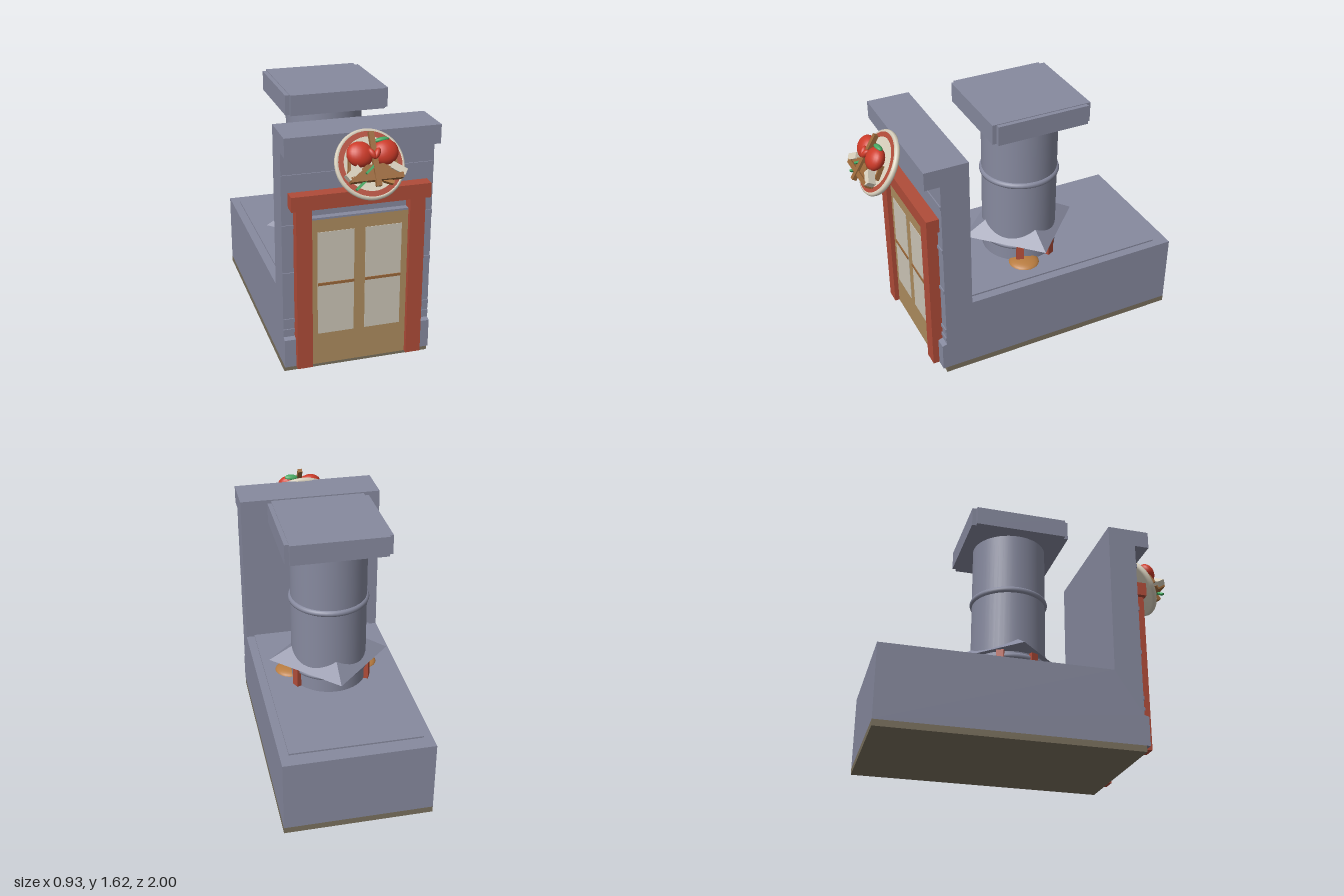
import * as THREE from 'three';

const paint = (name, color) => {
  const m = new THREE.MeshStandardMaterial({ color });
  m.name = name;
  return m;
};

export function createModel() {
  const slate = paint('slate', 0x878a9f);
  const brick = paint('brickRed', 0xb04c39);
  const tan = paint('doorTan', 0xae8d5f);
  const glass = paint('paleGlass', 0xcdc6b8);
  const earth = paint('earthBase', 0x7a715e);
  const wood = paint('wood', 0x9a683a);
  const cream = paint('cream', 0xd8d0bd);
  const tomato = paint('tomatoRed', 0xcc3a28);
  const green = paint('leafGreen', 0x46a862);
  const ember = paint('emberOrange', 0xb87c40);

  const model = new THREE.Group();
  model.name = 'shop';

  const add = (parent, name, geo, mat, x = 0, y = 0, z = 0) => {
    const mesh = new THREE.Mesh(geo, mat);
    mesh.name = name;
    mesh.position.set(x, y, z);
    parent.add(mesh);
    return mesh;
  };
  // Box given by its minimum and maximum on each axis
  const box = (parent, name, mat, x0, x1, y0, y1, z0, z1) =>
    add(parent, name, new THREE.BoxGeometry(x1 - x0, y1 - y0, z1 - z0), mat,
      (x0 + x1) / 2, (y0 + y1) / 2, (z0 + z1) / 2);
  const blob = (parent, name, mat, x, y, z, rx, ry, rz, turn = 0) => {
    const m = add(parent, name, new THREE.SphereGeometry(1, 24, 16), mat, x, y, z);
    m.scale.set(rx, ry, rz);
    m.rotation.z = turn;
    return m;
  };

  // Base slab
  box(model, 'baseSlab', earth, -0.465, 0.465, 0, 0.04, -1, 0.635);

  // Low hall, tall front wall and cornice from one side profile
  const profile = new THREE.Shape([
    [-1, 0.04], [0.66, 0.04], [0.66, 0.225], [0.63, 0.235], [0.63, 1.415], [0.725, 1.415],
    [0.725, 1.53], [0.45, 1.53], [0.45, 0.51], [-1, 0.51],
  ].map(([z, y]) => new THREE.Vector2(z, y)));
  const shell = new THREE.ExtrudeGeometry(profile, { depth: 0.93, bevelEnabled: false });
  shell.rotateY(-Math.PI / 2).translate(0.465, 0, 0);
  add(model, 'building', shell, slate);
  box(model, 'roofPanel', slate, -0.41, 0.41, 0.505, 0.52, -0.905, 0.45);

  // Narrow raised courses across the front wall
  for (const y of [0.275, 0.345, 0.652, 0.957, 1.267]) {
    box(model, 'wallCourse', slate, -0.465, 0.465, y - 0.012, y + 0.012, 0.62, 0.637);
  }

  // Door frame
  for (const s of [-1, 1]) {
    box(model, 'doorPost', brick, s * 0.3475 - 0.0475, s * 0.3475 + 0.0475, 0.04, 1.08, 0.62, 0.7);
  }
  box(model, 'lintel', brick, -0.425, 0.425, 1.08, 1.17, 0.62, 0.71);

  // Double door with panes and crossbars
  box(model, 'door', tan, -0.3, 0.3, 0.04, 1.0, 0.62, 0.67);
  box(model, 'doorHead', slate, -0.3, 0.3, 1.0, 1.012, 0.62, 0.672);
  for (const s of [-1, 1]) {
    const c = s * 0.1475;
    box(model, 'pane', glass, c - 0.113, c + 0.113, 0.25, 0.92, 0.668, 0.673);
    box(model, 'paneBar', wood, c - 0.113, c + 0.113, 0.575, 0.592, 0.67, 0.679);
  }

  // Chimney
  const chimney = new THREE.Group();
  chimney.name = 'chimney';
  chimney.position.z = -0.1;
  model.add(chimney);
  add(chimney, 'stack', new THREE.CylinderGeometry(0.242, 0.242, 1.0, 48), slate, 0, 1.01, 0);
  for (const y of [0.63, 1.095]) {
    const ring = add(chimney, 'stackRing', new THREE.TorusGeometry(0.235, 0.022, 10, 48), slate, 0, y, 0);
    ring.rotation.x = Math.PI / 2;
  }
  const skirt = new THREE.ConeGeometry(0.39, 0.228, 4).toNonIndexed();
  skirt.computeVertexNormals();
  add(chimney, 'pointedSkirt', skirt, slate, 0, 0.774, 0);
  box(chimney, 'chimneyCap', slate, -0.325, 0.325, 1.495, 1.618, -0.298, 0.298);
  box(chimney, 'chimneyCapCross', slate, -0.298, 0.298, 1.495, 1.622, -0.325, 0.325);

  // Red struts and glowing mounds around the stack foot
  for (const s of [-1, 1]) {
    for (const a of [-0.45, 0.42]) {
      const strut = add(chimney, 'strut', new THREE.BoxGeometry(0.05, 0.16, 0.05), brick,
        s * 0.245 * Math.cos(a), 0.585, 0.245 * Math.sin(a));
      strut.rotation.y = -s * a;
    }
    blob(chimney, 'emberMound', ember, s * 0.24, 0.515, 0.08, 0.1, 0.035, 0.1);
  }

  // Round sign leaning forward at the foot, face tilted upward
  const sign = new THREE.Group();
  sign.name = 'sign';
  sign.position.set(0, 1.37, 0.825);
  sign.rotation.x = -0.55;
  model.add(sign);
  const plate = new THREE.LatheGeometry([
    [0, -0.02], [0.185, -0.02], [0.2, -0.013], [0.205, 0], [0.2, 0.014], [0.187, 0.018],
    [0.18, 0.008], [0, 0.008],
  ].map(([r, y]) => new THREE.Vector2(r, y)), 48).rotateX(Math.PI / 2);
  add(sign, 'signPlate', plate, cream);
  const band = new THREE.RingGeometry(0.155, 0.186, 48);
  add(sign, 'signBand', band, brick, 0, 0, 0.0185);

  // Fruit, leaf and heart
  for (const s of [-1, 1]) {
    blob(sign, 'fruit', tomato, s * 0.073, 0.045, 0.08, 0.077, 0.072, 0.05, s * 0.25);
    blob(sign, 'heartHalf', tomato, s * 0.014, 0.035, 0.118, 0.018, 0.034, 0.02, -s * 0.5);
  }
  blob(sign, 'leaf', green, 0.06, 0.112, 0.088, 0.045, 0.016, 0.022, 0.1);

  // Wooden tray, bracket and upright stake
  box(sign, 'tray', wood, -0.15, 0.15, -0.11, -0.08, 0.05, 0.11);
  const wedge = new THREE.Shape([
    [-0.14, -0.08], [0.14, -0.08], [0.05, -0.02], [-0.05, -0.02],
  ].map(([x, y]) => new THREE.Vector2(x, y)));
  add(sign, 'bracket', new THREE.ExtrudeGeometry(wedge, { depth: 0.045, bevelEnabled: false }),
    wood, 0, 0, 0.055);
  box(sign, 'stake', wood, -0.015, 0.015, -0.145, 0.16, 0.09, 0.118);

  // Cream blocks at both ends of the tray, and trimmings
  for (const s of [-1, 1]) {
    const block = add(sign, 'creamBlock', new THREE.BoxGeometry(0.09, 0.04, 0.05), cream, s * 0.13, -0.058, 0.085);
    block.rotation.z = -s * 0.6;
    const side = add(sign, 'sideSlat', new THREE.BoxGeometry(0.012, 0.09, 0.03), wood, s * 0.135, -0.01, 0.05);
    side.rotation.z = s * 0.2;
  }
  for (const [x, y, z, len] of [[-0.09, -0.125, 0.075, 0.08], [-0.03, -0.045, 0.105, 0.08]]) {
    const sprig = add(sign, 'sprig', new THREE.BoxGeometry(len, 0.013, 0.02), green, x, y, z);
    sprig.rotation.z = 0.65;
  }
  const crumb = add(sign, 'crumb', new THREE.BoxGeometry(0.06, 0.02, 0.04), ember, 0.075, -0.115, 0.05);
  crumb.rotation.z = -0.4;

  return model;
}
